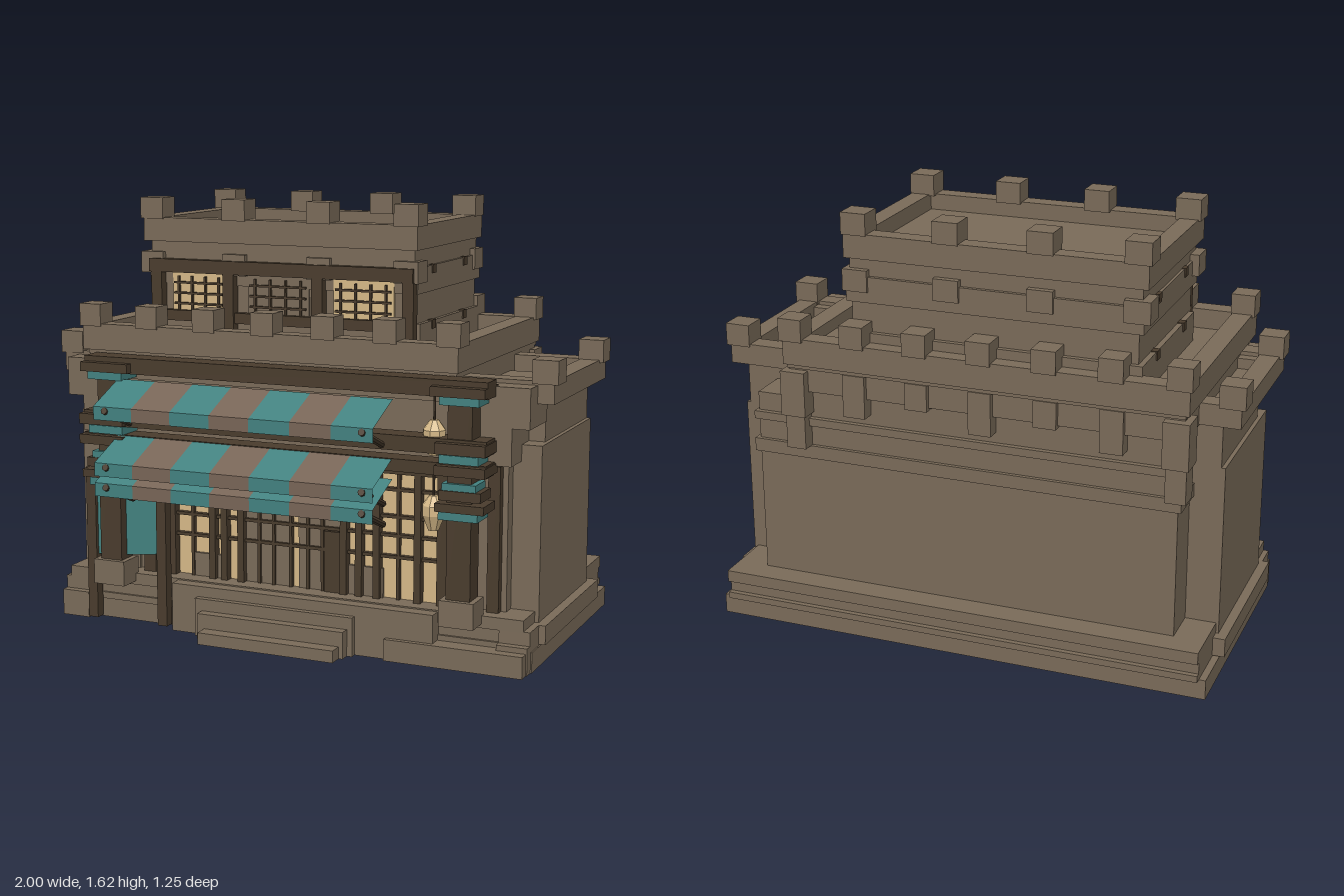
import * as THREE from 'three';

export function createModel() {
  const root = new THREE.Group();
  const mat = (name, color) => {
    const m = new THREE.MeshStandardMaterial({ color, flatShading: true });
    m.name = name;
    return m;
  };
  const stone = mat('stone', 0x7a6b59);
  const wood = mat('darkWood', 0x4a3c2d);
  const teal = mat('tealCloth', 0x438280);
  const brown = mat('brownCloth', 0x786557);
  const cream = mat('creamPaper', 0xd6b988);
  teal.side = brown.side = THREE.DoubleSide;

  const add = (name, geo, m) => {
    const mesh = new THREE.Mesh(geo, m);
    mesh.name = name;
    root.add(mesh);
    return mesh;
  };
  // Box given by its limits on each axis
  const box = (name, m, x0, x1, y0, y1, z0, z1) => {
    const b = add(name, new THREE.BoxGeometry(x1 - x0, y1 - y0, z1 - z0), m);
    b.position.set((x0 + x1) / 2, (y0 + y1) / 2, (z0 + z1) / 2);
    return b;
  };
  // Same box on both sides
  const pair = (name, m, x0, x1, ...r) => {
    box(name, m, x0, x1, ...r);
    box(name, m, -x1, -x0, ...r);
  };
  // Hollow parapet wall
  const parapet = (name, x0, x1, y0, y1, z0, z1, t) => {
    box(name, stone, x0, x1, y0, y1, z1 - t, z1);
    box(name, stone, x0, x1, y0, y1, z0, z0 + t);
    box(name, stone, x0, x0 + t, y0, y1, z0 + t, z1 - t);
    box(name, stone, x1 - t, x1, y0, y1, z0 + t, z1 - t);
  };
  // Rows of merlons along the front and back
  const merlons = (name, n, x0, x1, y0, y1, z0, z1, w) => {
    for (let i = 0; i < n; i++) {
      const x = x0 + ((x1 - x0 - w) * i) / (n - 1);
      box(name, stone, x, x + w, y0, y1, z1 - w, z1);
      box(name, stone, x, x + w, y0, y1, z0, z0 + w);
    }
  };
  // Round bar between two points
  const rod = (name, a, b, r) => {
    const p = new THREE.Vector3(...a), q = new THREE.Vector3(...b);
    const c = add(name, new THREE.CylinderGeometry(r, r, p.distanceTo(q), 8), wood);
    c.position.copy(p).add(q).multiplyScalar(0.5);
    c.quaternion.setFromUnitVectors(new THREE.Vector3(0, 1, 0), q.sub(p).normalize());
  };

  // Stepped base and stairs
  box('base', stone, -0.95, 0.95, 0, 0.075, -0.6, 0.35);
  box('baseLedge', stone, -0.925, 0.92, 0.075, 0.1, -0.625, 0.36);
  box('baseCourse', stone, -0.925, 0.92, 0.1, 0.145, -0.605, 0.35);
  box('baseTop', stone, -0.925, 0.92, 0.145, 0.19, -0.625, 0.36);
  pair('basePad', stone, 0.83, 0.945, 0, 0.1, 0.24, 0.39);
  pair('basePadTop', stone, 0.83, 0.945, 0.1, 0.15, 0.24, 0.36);
  pair('baseSideLedge', stone, 0.9, 0.97, 0.08, 0.15, -0.42, 0.26);
  box('frontApron', stone, -0.45, 0.6, 0, 0.185, 0.35, 0.41);
  box('rightApron', stone, 0.42, 0.94, 0, 0.08, 0.35, 0.43);
  box('stairTop', stone, -0.34, 0.3, 0, 0.145, 0.35, 0.435);
  box('stairMiddle', stone, -0.31, 0.28, 0, 0.1, 0.35, 0.475);
  box('stairBottom', stone, -0.28, 0.265, 0, 0.045, 0.35, 0.53);

  // Main hall
  box('mainWall', stone, -0.81, 0.63, 0.19, 1.07, -0.53, 0.27);
  box('mainWallSide', stone, 0.6, 0.8, 0.19, 0.9, -0.53, -0.2);
  box('upperFront', stone, -0.8, 0.63, 0.71, 1.03, 0.27, 0.31);
  box('wallCourse', stone, -0.825, 0.815, 0.67, 0.72, -0.545, -0.3);
  box('wallCourse', stone, -0.835, 0.65, 0.94, 1.03, -0.565, 0.33);
  for (const x of [-0.86, 0.575]) {
    box('backCornerPost', stone, x, x + 0.095, 0.85, 1.02, -0.6, -0.5);
    box('backCornerFoot', stone, x + 0.01, x + 0.085, 0.72, 0.85, -0.585, -0.5);
  }
  for (let i = 1; i < 6; i++) {
    const x = -0.865 + i * 0.2417;
    box('backCorbel', stone, x, x + 0.085, i % 2 ? 0.87 : 0.93, 1.03, -0.585, -0.52);
  }
  box('backLedge', stone, -0.82, 0.81, 0.8, 0.83, -0.55, -0.5);

  // Side wings with their parapet
  pair('wing', stone, 0.6, 0.935, 0.15, 0.79, -0.38, 0.23);
  pair('wingFrontPier', stone, 0.66, 0.83, 0.19, 0.75, 0.2, 0.28);
  pair('wingUpper', stone, 0.6, 0.92, 0.79, 0.97, -0.27, 0.15);
  pair('wingCorbel', stone, 0.7, 0.86, 0.73, 0.88, 0.15, 0.345);
  pair('wingCorbelTop', stone, 0.7, 0.925, 0.865, 1.01, 0.15, 0.345);
  pair('wingBackCorbel', stone, 0.7, 0.92, 0.79, 0.945, -0.38, -0.27);
  parapet('wingParapet', -0.985, 0.985, 0.945, 1.025, -0.39, 0.265, 0.075);
  for (const x of [-1, 0.905]) {
    box('wingMerlon', stone, x, x + 0.095, 1.015, 1.1, 0.175, 0.27);
    box('wingMerlon', stone, x, x + 0.095, 1.015, 1.1, -0.395, -0.3);
  }
  box('wingMerlon', stone, 0.52, 0.6, 1.015, 1.1, -0.395, -0.3);

  // Second tier
  box('terraceFloor', stone, -0.84, 0.65, 1.03, 1.07, -0.58, 0.33);
  parapet('terraceParapet', -0.855, 0.66, 1.045, 1.145, -0.59, 0.345, 0.075);
  merlons('terraceMerlon', 7, -0.865, 0.67, 1.135, 1.22, -0.6, 0.35, 0.09);

  // Upper room and its layered cornice
  box('upperRoom', stone, -0.65, 0.415, 1.07, 1.33, -0.51, 0.14);
  box('upperRoomFoot', stone, -0.67, 0.43, 1.07, 1.18, -0.53, 0.12);
  box('lowerCornice', stone, -0.67, 0.43, 1.29, 1.385, -0.525, 0.145);
  box('middleCornice', stone, -0.66, 0.42, 1.385, 1.46, -0.51, 0.15);
  merlons('corniceBlock', 4, -0.695, 0.44, 1.33, 1.41, -0.535, 0.17, 0.095);
  parapet('roofParapet', -0.685, 0.435, 1.45, 1.54, -0.53, 0.165, 0.07);
  box('roofFloor', stone, -0.66, 0.41, 1.45, 1.48, -0.5, 0.14);
  merlons('roofMerlon', 4, -0.695, 0.44, 1.535, 1.615, -0.535, 0.17, 0.095);
  for (const z of [-0.35, -0.015]) {
    for (const y of [1.355, 1.15]) {
      box('beamEnd', wood, -0.675, 0.435, y, y + 0.033, z - 0.018, z + 0.018);
    }
  }

  // Upper windows
  box('upperBeam', wood, -0.655, 0.425, 1.335, 1.385, 0.14, 0.183);
  box('upperSill', wood, -0.65, 0.42, 1.15, 1.19, 0.14, 0.17);
  for (const x of [-0.625, -0.32, 0.045, 0.405]) {
    box('upperPost', wood, x - 0.022, x + 0.022, 1.07, 1.335, 0.14, 0.18);
  }
  [[-0.57, -0.345, cream], [-0.25, 0, stone], [0.1, 0.34, cream]].forEach(([a, b, m]) => {
    box('upperPane', m, a, b, 1.19, 1.335, 0.14, 0.148);
    for (let i = 0; i < 4; i++) {
      const x = a + ((b - a) * (i + 0.5)) / 4;
      box('upperLattice', wood, x - 0.004, x + 0.004, 1.19, 1.32, 0.148, 0.158);
    }
    for (const y of [1.215, 1.255, 1.295]) {
      box('upperLattice', wood, a + 0.01, b - 0.01, y - 0.004, y + 0.004, 0.148, 0.16);
    }
  });

  // Front screens: paper panes, door leaves and lattice
  box('paperScreen', cream, -0.64, 0.66, 0.19, 0.67, 0.27, 0.277);
  box('lintel', wood, -0.64, 0.66, 0.66, 0.71, 0.27, 0.31);
  box('doorLeaf', stone, -0.2, -0.02, 0.19, 0.56, 0.277, 0.285);
  box('doorLeaf', stone, 0.02, 0.2, 0.19, 0.5, 0.277, 0.285);
  box('lowPanel', stone, -0.42, -0.3, 0.19, 0.28, 0.277, 0.29);
  box('lowPanel', stone, 0.22, 0.36, 0.19, 0.3, 0.277, 0.29);
  for (const x of [-0.5, -0.33, -0.28, -0.21, 0.21, 0.27, 0.34, 0.5]) {
    box('screenPost', wood, x - 0.013, x + 0.013, 0.19, 0.67, 0.277, 0.31);
  }
  pair('screenEndPost', wood, 0.575, 0.625, 0.19, 0.98, 0.27, 0.31);
  pair('outerPost', wood, 0.765, 0.81, 0.19, 0.72, 0.27, 0.31);
  for (const x of [-0.42, -0.14, -0.08, -0.01, 0.06, 0.12, 0.42]) {
    box('screenBar', wood, x - 0.006, x + 0.006, 0.19, 0.67, 0.277, 0.295);
  }
  for (const y of [0.35, 0.43, 0.5, 0.6]) {
    box('screenRail', wood, -0.6, 0.6, y - 0.006, y + 0.006, 0.277, 0.298);
  }
  box('doorPost', wood, 0.13, 0.2, 0.19, 0.42, 0.28, 0.3);

  // Porch columns, brackets and beams
  pair('columnBase', stone, 0.635, 0.765, 0.16, 0.255, 0.34, 0.45);
  pair('column', wood, 0.655, 0.745, 0.25, 1.0, 0.345, 0.43);
  for (const y of [0.545, 0.745, 0.95]) {
    pair('tealPad', teal, 0.63, 0.775, y, y + 0.03, 0.335, 0.45);
  }
  pair('tealPad', teal, 0.64, 0.765, 0.645, 0.675, 0.34, 0.445);
  pair('bracket', wood, 0.62, 0.8, 0.575, 0.605, 0.335, 0.46);
  pair('bracket', wood, 0.63, 0.785, 0.615, 0.65, 0.34, 0.45);
  pair('topBracket', wood, 0.6, 0.8, 0.98, 1.015, 0.32, 0.462);
  box('topBeam', wood, -0.8, 0.8, 0.975, 1.035, 0.34, 0.43);
  box('middleBeam', wood, -0.8, 0.8, 0.775, 0.83, 0.35, 0.44);
  box('lowerBeam', wood, -0.8, 0.8, 0.7, 0.745, 0.35, 0.44);
  pair('beamCap', wood, 0.62, 0.805, 0.78, 0.82, 0.33, 0.468);
  pair('beamCap', wood, 0.62, 0.805, 0.705, 0.74, 0.33, 0.468);

  // Striped awnings, each a slope with a short hanging edge, on slanting rods
  for (const y of [0.83, 0.62, 0.545]) {
    for (let i = 0; i < 7; i++) {
      const cloth = i % 2 ? brown : teal;
      const x = -0.575 + i * 0.158;
      const slope = add('awningStripe', new THREE.PlaneGeometry(0.158, Math.hypot(0.075, 0.18)), cloth);
      slope.position.set(x, y + 0.0875, 0.523);
      slope.rotation.x = -Math.atan2(0.18, 0.075);
      add('awningEdge', new THREE.PlaneGeometry(0.158, 0.05), cloth).position.set(x, y + 0.025, 0.613);
    }
    for (const x of [-0.605, 0.412]) {
      rod('awningRod', [x, y - 0.045, 0.42], [x, y + 0.037, 0.62], 0.013);
    }
  }

  // Side curtain hung between two poles
  for (const x of [-0.8, -0.497]) box('curtainPole', wood, x - 0.02, x + 0.02, 0.01, 0.6, 0.365, 0.405);
  const curtain = new THREE.Shape([[-0.78, 0.58], [-0.78, 0.26], [-0.68, 0.265], [-0.515, 0.285], [-0.515, 0.58]]
    .map(([x, y]) => new THREE.Vector2(x, y)));
  add('curtain', new THREE.ShapeGeometry(curtain), teal).position.z = 0.39;

  // Hanging lanterns
  const profile = [[0, -0.065], [0.02, -0.06], [0.042, -0.005], [0.042, 0.03], [0.016, 0.065], [0, 0.065]]
    .map(([x, y]) => new THREE.Vector2(x, y));
  for (const [x, y] of [[0.59, 0.82], [0.59, 0.55], [-0.59, 0.55]]) {
    add('lantern', new THREE.LatheGeometry(profile, 8), cream).position.set(x, y, 0.385);
    rod('lanternCord', [x, y + 0.06, 0.385], [x, y + 0.16, 0.385], 0.005);
  }
  return root;
}
